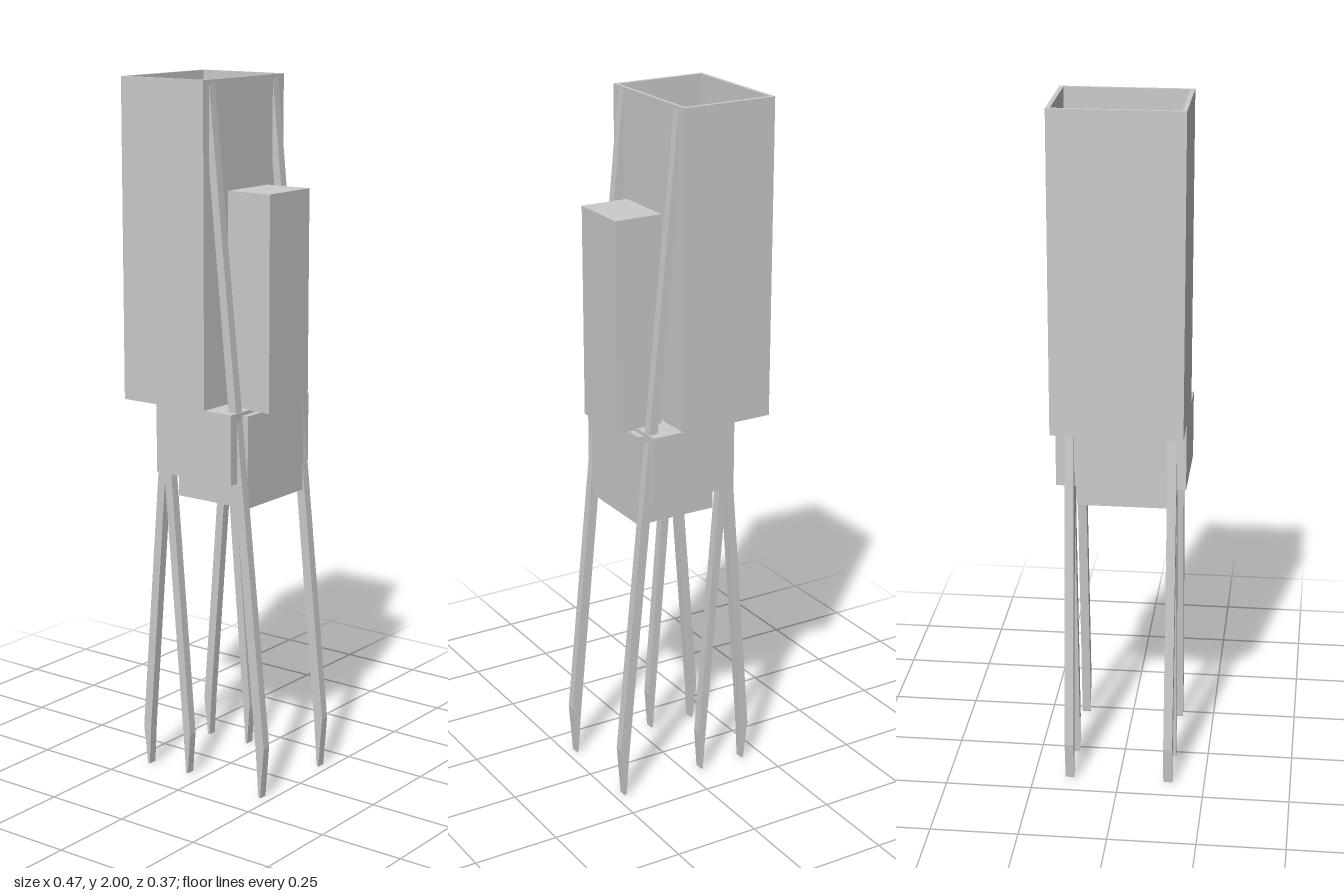
import * as THREE from 'three';

const material = new THREE.MeshStandardMaterial({ color: 0xcccccc, flatShading: true });

// Extrudes a polygon (with optional hole) by depth along z
function plate(points, depth, hole) {
  const shape = new THREE.Shape(points.map(([x, y]) => new THREE.Vector2(x, y)));
  if (hole) shape.holes.push(new THREE.Path(hole.map(([x, y]) => new THREE.Vector2(x, y))));
  return new THREE.ExtrudeGeometry(shape, { depth, bevelEnabled: false });
}

const rect = (x0, x1, z) => [[x0, -z], [x1, -z], [x1, z], [x0, z]];

export function createModel() {
  const model = new THREE.Group();
  model.name = 'leggedTower';

  function add(name, geometry) {
    const mesh = new THREE.Mesh(geometry, material);
    mesh.name = name;
    model.add(mesh);
    return mesh;
  }

  // Box given by its x and y limits and half depth
  function block(name, x0, x1, y0, y1, halfZ) {
    const mesh = add(name, new THREE.BoxGeometry(x1 - x0, y1 - y0, halfZ * 2));
    mesh.position.set((x0 + x1) / 2, (y0 + y1) / 2, 0);
  }

  // Tall open-topped tower: four thin walls and a floor
  const walls = plate(rect(-0.237, 0.046, 0.183), 0.9, rect(-0.227, 0.036, 0.171));
  walls.rotateX(-Math.PI / 2);
  add('towerWalls', walls).position.y = 1.1;
  block('towerFloor', -0.23, 0.04, 1.1, 1.106, 0.175);

  // Base under the tower, with a narrower core hanging below it
  block('base', -0.122, 0.139, 0.906, 1.104, 0.183);
  block('baseCore', -0.085, 0.157, 0.832, 1.094, 0.131);

  // Closed box standing beside the tower
  block('sideBox', 0.059, 0.2, 1.1, 1.7, 0.092);

  // Flat pointed legs, mirrored to both sides
  const legs = {
    longLeg: [[0.046, 1.99], [0.046, 1.76], [0.207, 0.13], [0.216, 0.005], [0.222, 0], [0.234, 0.15]],
    outerLeg: [[-0.122, 1.1], [-0.2, 0.12], [-0.186, 0.005], [-0.18, 0.005], [-0.173, 0.13], [-0.097, 1.1]],
    innerLeg: [[-0.125, 1.0], [-0.052, 0.12], [-0.044, 0.01], [-0.038, 0.01], [-0.029, 0.13], [-0.1, 1.0]],
  };
  for (const [name, outline] of Object.entries(legs)) {
    const geometry = plate(outline, 0.026);
    add(name + 'Front', geometry).position.z = 0.131;
    add(name + 'Back', geometry).position.z = -0.157;
  }

  return model;
}
